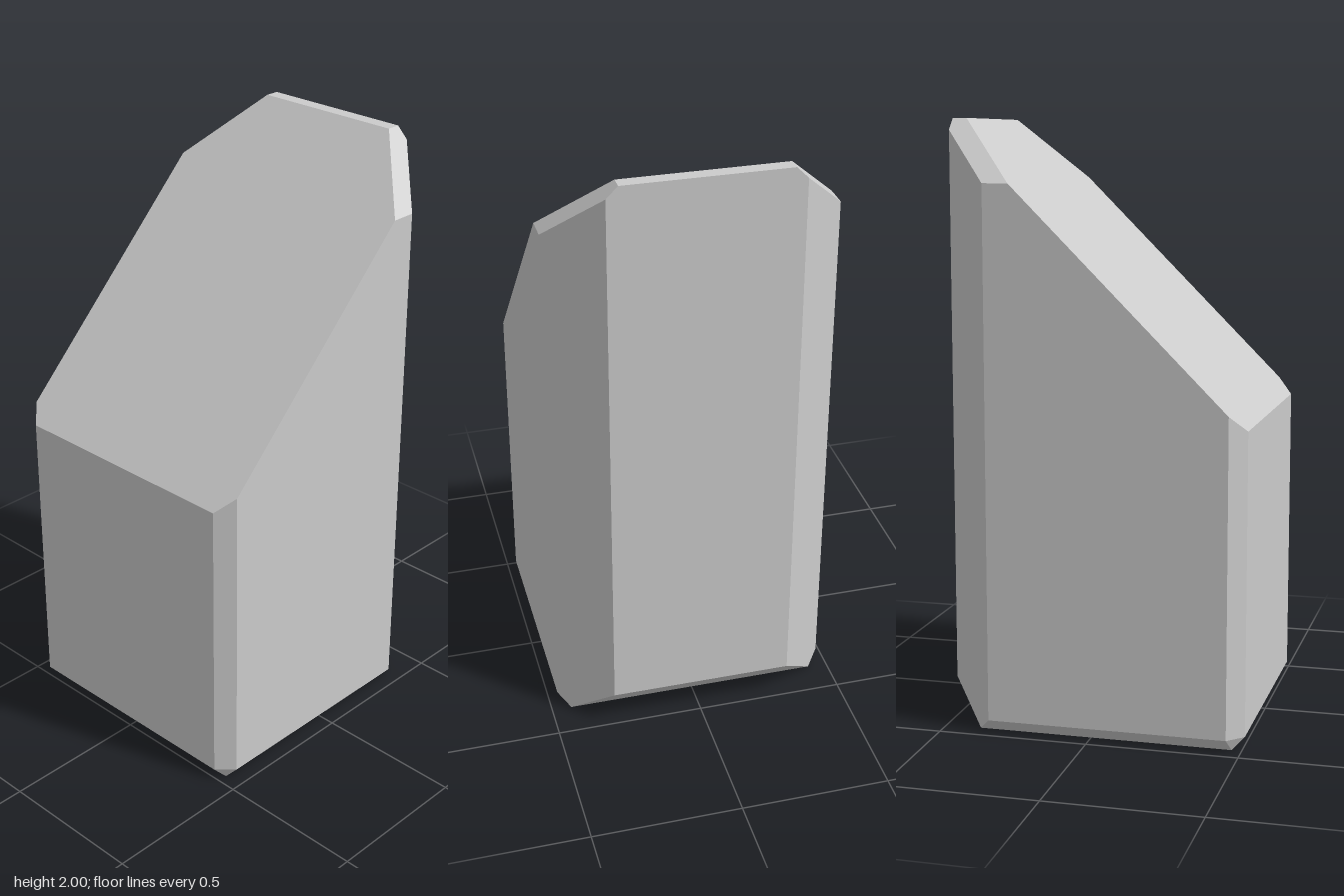
import * as THREE from 'three';
import { ConvexGeometry } from 'three/addons/geometries/ConvexGeometry.js';

export function createModel() {
  const group = new THREE.Group();
  group.name = 'bevelledWedgeBlock';

  // Corners of one half; each is mirrored across z = 0
  const half = [
    // bottom face
    [-0.467, 0, 0.435], [0.38, 0, 0.433],
    // top of the bottom bevels
    [-0.507, 0.042, 0.42], [-0.455, 0.042, 0.473], [0.34, 0.042, 0.473], [0.507, 0.13, 0.306],
    // sloped top, rising at 45 degrees
    [-0.507, 1.033, 0.42], [-0.455, 1.085, 0.473], [0.255, 1.795, 0.473], [0.46, 2, 0.268],
    // upper corner bevels and the narrow flat at the peak
    [0.34, 1.795, 0.473], [0.507, 1.962, 0.306], [0.507, 2, 0.268],
  ];
  const corners = half.flatMap(([x, y, z]) =>
    [1, -1].map((side) => new THREE.Vector3(x, y, side * z)));

  const block = new THREE.Mesh(
    new ConvexGeometry(corners),
    new THREE.MeshStandardMaterial({ color: 0xcccccc, flatShading: true })
  );
  block.name = 'block';
  group.add(block);
  return group;
}
